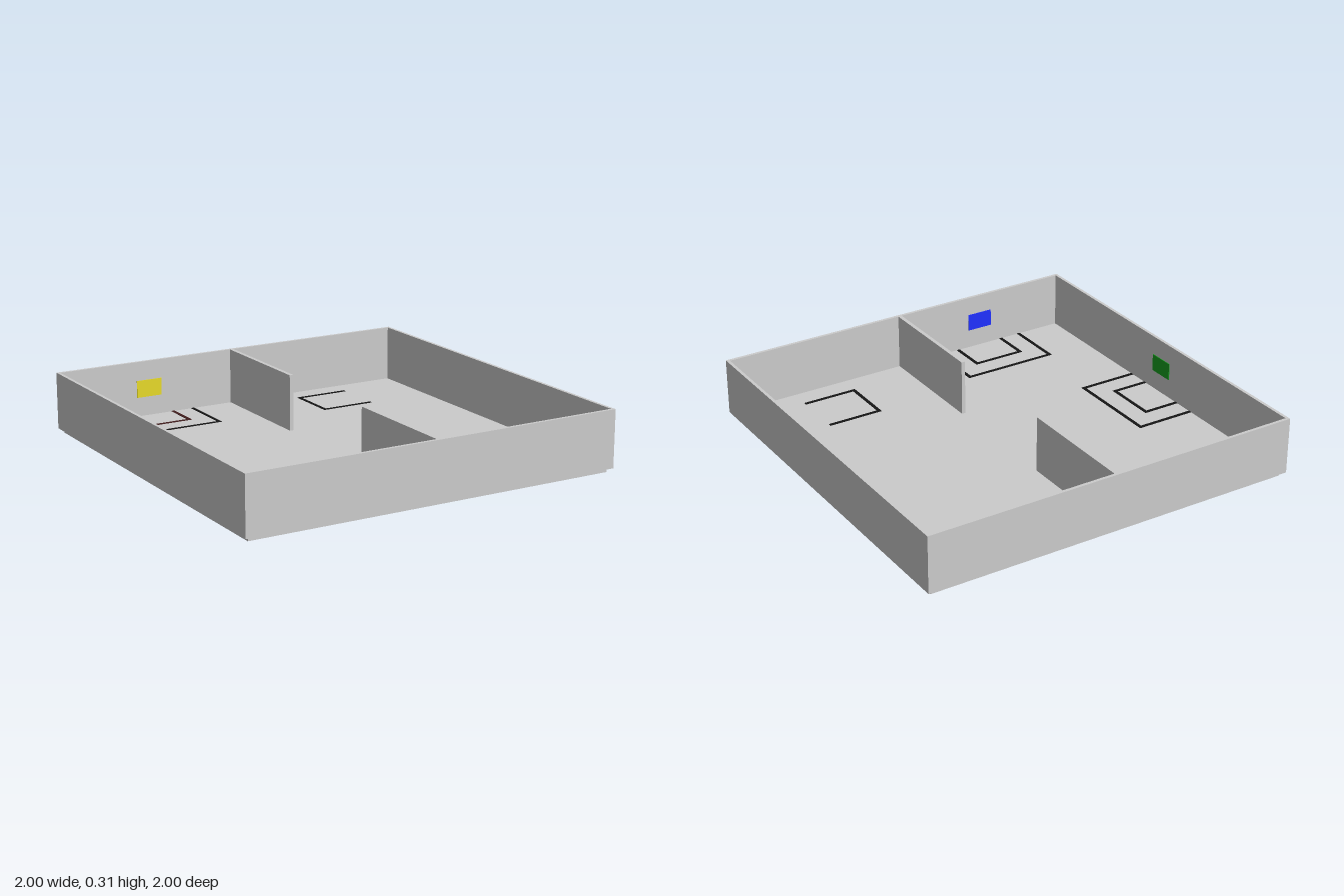
import * as THREE from 'three';

const FLOOR = 0.024, TOP = 0.315, INNER = 0.984, TAPE = 0.018;
const mat = (color) => new THREE.MeshStandardMaterial({ color });
const grey = mat(0xcccccc), black = mat(0x151515), darkRed = mat(0x421e1e);

// Box given by its min and max corners
function box(parent, name, material, [x0, y0, z0], [x1, y1, z1]) {
  const mesh = new THREE.Mesh(new THREE.BoxGeometry(x1 - x0, y1 - y0, z1 - z0), material);
  mesh.position.set((x0 + x1) / 2, (y0 + y1) / 2, (z0 + z1) / 2);
  mesh.name = name;
  parent.add(mesh);
}

// Rectangle outline of floor tape, with one side ('x+', 'x-', 'z+', 'z-') left open
function marking(parent, name, material, x0, x1, z0, z1, open) {
  const group = new THREE.Group();
  group.name = name;
  const sides = {
    'x-': [x0, x0 + TAPE, z0, z1],
    'x+': [x1 - TAPE, x1, z0, z1],
    'z-': [x0, x1, z0, z0 + TAPE],
    'z+': [x0, x1, z1 - TAPE, z1],
  };
  for (const [side, [a, b, c, d]] of Object.entries(sides)) {
    if (side !== open) box(group, 'tapeStrip', material, [a, FLOOR - 0.001, c], [b, FLOOR + 0.002, d]);
  }
  parent.add(group);
}

const square = (path, r) => path.moveTo(-r, -r).lineTo(r, -r).lineTo(r, r).lineTo(-r, r).closePath();

export function createModel() {
  const model = new THREE.Group();
  model.name = 'arena';

  // Base slab, slightly inset, with the floor sheet closing it to the walls
  box(model, 'baseSlab', grey, [-0.977, 0, -0.977], [0.977, 0.021, 0.977]);
  box(model, 'floorSheet', grey, [-INNER, 0.021, -INNER], [INNER, FLOOR, INNER]);

  // Outer walls as one square ring
  const ring = square(new THREE.Shape(), 1);
  ring.holes.push(square(new THREE.Path(), INNER));
  const walls = new THREE.Mesh(
    new THREE.ExtrudeGeometry(ring, { depth: TOP - 0.021, bevelEnabled: false }), grey);
  walls.rotation.x = -Math.PI / 2;
  walls.position.y = 0.021;
  walls.name = 'outerWalls';
  model.add(walls);

  // Two partitions leaving a central opening
  box(model, 'backPartition', grey, [-0.01, FLOOR, -INNER], [0.01, TOP, -0.345]);
  box(model, 'frontPartition', grey, [-0.01, FLOOR, 0.345], [0.01, TOP, INNER]);

  // Nested markings against three walls
  marking(model, 'backOuterMarking', black, -0.75, -0.23, -INNER, -0.67, 'z-');
  marking(model, 'backInnerMarking', darkRed, -0.635, -0.345, -INNER, -0.785, 'z-');
  marking(model, 'frontOuterMarking', black, -0.75, -0.23, 0.665, INNER, 'z+');
  marking(model, 'frontInnerMarking', black, -0.635, -0.345, 0.78, INNER, 'z+');
  marking(model, 'sideOuterMarking', black, -INNER, -0.665, -0.265, 0.257, 'x-');
  marking(model, 'sideInnerMarking', black, -INNER, -0.783, -0.148, 0.142, 'x-');

  // Free-standing markings in the other room
  marking(model, 'backBayMarking', black, 0.342, 0.636, -0.88, -0.593, 'x+');
  marking(model, 'frontBayMarking', black, 0.342, 0.636, 0.588, 0.876, 'x+');

  // Coloured panels on the walls above the nested markings
  const y0 = 0.125, y1 = 0.215, face = INNER - 0.004;
  box(model, 'yellowPanel', mat(0xe6d928), [-0.56, y0, -INNER], [-0.42, y1, -face]);
  box(model, 'bluePanel', mat(0x2030ff), [-0.56, y0, face], [-0.42, y1, INNER]);
  box(model, 'greenPanel', mat(0x18a020), [-INNER, y0, -0.07], [-face, y1, 0.07]);

  return model;
}
